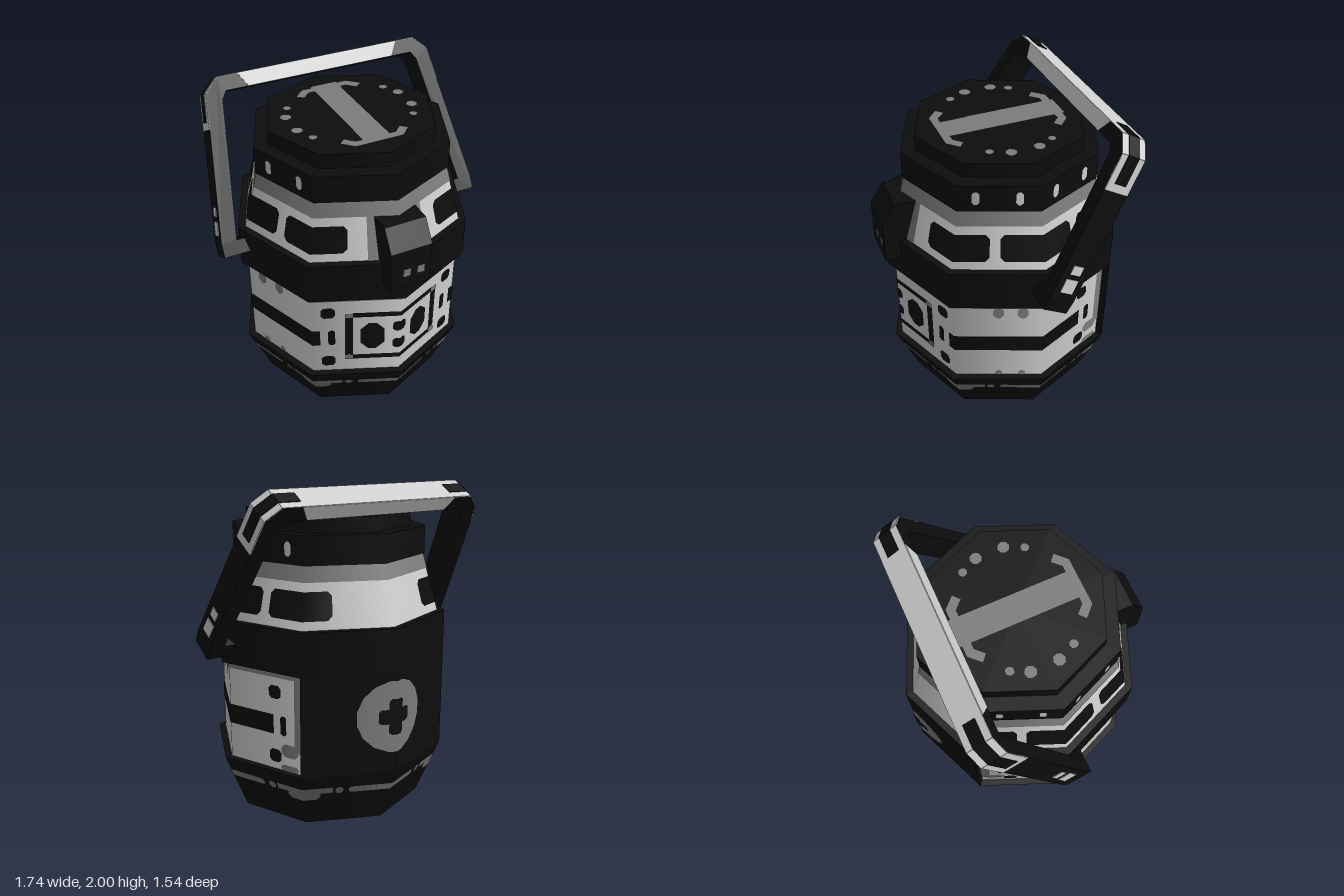
import * as THREE from 'three';

const mat = (name, color) => Object.assign(new THREE.MeshStandardMaterial({ color }), { name });

export function createModel() {
  const black = mat('black', 0x0d0d0d);
  const grey = mat('grey', 0x7c7c7c);
  const light = mat('light grey', 0xcfcfcf);
  const root = new THREE.Group();
  const CZ = -0.02; // centre of the octagonal body

  const add = (name, geo, m, parent = root) => {
    const mesh = new THREE.Mesh(geo, m);
    mesh.name = name;
    parent.add(mesh);
    return mesh;
  };
  const shapeOf = pts => new THREE.Shape(pts.map(p => new THREE.Vector2(...p)));

  // Stacked eight-sided canister sections: name, bottom radius, top radius, y0, y1
  for (const [name, r0, r1, y0, y1, m] of [
    ['base', 0.6, 0.745, 0, 0.35, black],
    ['body', 0.7, 0.7, 0.35, 0.96, light],
    ['belt', 0.745, 0.745, 0.96, 1.22, black],
    ['shoulder', 0.7, 0.6, 1.22, 1.57, light],
    ['lidRing', 0.61, 0.61, 1.57, 1.74, black],
    ['lidCap', 0.52, 0.52, 1.74, 1.83, black],
  ]) {
    add(name, new THREE.CylinderGeometry(r1, r0, y1 - y0, 8), m).position.set(0, (y0 + y1) / 2, CZ);
  }

  // Raised back panel covering the two rear faces
  const corner = (k, r) => [r * Math.sin(k * Math.PI / 4), r * Math.cos(k * Math.PI / 4)];
  const backShape = shapeOf([[0, 0], ...[3, 4, 5].map(k => corner(k, 0.745)).map(([x, z]) => [x, -z])]);
  const backGeo = new THREE.ExtrudeGeometry(backShape, { depth: 0.61, bevelEnabled: false });
  add('backPanel', backGeo.rotateX(-Math.PI / 2), black).position.set(0, 0.35, CZ);

  // Painted patch: convex outline in (u, y), u counts octagon corners from the front towards +x
  const clip = (pts, c, s) => pts.flatMap((p, i) => {
    const q = pts[(i + 1) % pts.length], a = s * (p[0] - c), b = s * (q[0] - c);
    const out = a >= 0 ? [p] : [];
    if (a * b < 0) out.push([c, p[1] + (q[1] - p[1]) * a / (a - b)]);
    return out;
  });
  const patch = (name, m, pts, radius, layer = 1) => {
    const pos = [], nor = [], us = pts.map(p => p[0]);
    for (let k = Math.floor(Math.min(...us)); k < Math.max(...us); k++) {
      const poly = clip(clip(pts, k, 1), k + 1, -1);
      const put = ([u, y]) => {
        const r = radius(y) + 0.0035 * layer, t = u - k;
        const [ax, az] = corner(k, 1), [bx, bz] = corner(k + 1, 1);
        const x = ax + (bx - ax) * t, z = az + (bz - az) * t;
        const n = new THREE.Vector3(x, (radius(y) - radius(y + 0.01)) * 100, z).normalize();
        pos.push(x * r, y, z * r + CZ);
        nor.push(n.x, n.y, n.z);
      };
      for (let i = 1; i < poly.length - 1; i++) [poly[0], poly[i], poly[i + 1]].forEach(put);
    }
    const geo = new THREE.BufferGeometry();
    geo.setAttribute('position', new THREE.Float32BufferAttribute(pos, 3));
    geo.setAttribute('normal', new THREE.Float32BufferAttribute(nor, 3));
    add(name, geo, m);
  };
  // Rectangle with cut corners
  const rect = (u0, u1, y0, y1, c = 0) => {
    const d = c / 0.53;
    return c ? [[u0 + d, y0], [u1 - d, y0], [u1, y0 + c], [u1, y1 - c], [u1 - d, y1], [u0 + d, y1], [u0, y1 - c], [u0, y0 + c]]
      : [[u0, y0], [u1, y0], [u1, y1], [u0, y1]];
  };
  const both = (name, m, pts, radius, layer) => {
    patch(name, m, pts, radius, layer);
    patch(name, m, pts.map(([u, y]) => [-u, y]).reverse(), radius, layer);
  };

  // Body markings
  const rBody = () => 0.7;
  both('bodyTopShade', grey, rect(0, 3, 0.92, 0.96), rBody);
  both('bodyRearShade', grey, rect(2.9, 3, 0.48, 0.92), rBody);
  both('bodyRearStain', grey, rect(2.72, 2.95, 0.44, 0.52, 0.025), rBody);
  both('bodyRearStain', grey, rect(2.72, 2.95, 0.35, 0.39, 0.012), rBody);
  for (const u of [1.5, 1.77]) {
    both('drip', grey, rect(u - 0.06, u + 0.06, 0.84, 0.93, 0.025), rBody);
    both('lowerDrip', grey, rect(u - 0.04, u + 0.04, 0.35, 0.39, 0.012), rBody);
  }
  both('sideStripe', black, rect(0.91, 2.62, 0.57, 0.69), rBody);
  both('frontPill', black, rect(0.74, 0.82, 0.57, 0.69, 0.012), rBody);
  both('rearPill', black, rect(2.71, 2.79, 0.57, 0.69, 0.012), rBody);
  for (const y of [0.395, 0.79]) {
    both('frontRivet', black, rect(0.74, 0.9, y, y + 0.08, 0.018), rBody);
    both('rearRivet', black, rect(2.56, 2.72, y, y + 0.08, 0.018), rBody);
  }

  // Front control panel: frame with worn corners and dark indicators
  for (const y of [0.445, 0.79]) {
    patch('panelFrame', black, rect(-0.56, 0.56, y, y + 0.035), rBody);
    both('panelCorner', grey, rect(0.54, 0.63, y, y + 0.035), rBody, 2);
  }
  both('panelSide', black, rect(0.54, 0.63, 0.48, 0.79), rBody);
  both('panelDial', black, rect(0.18, 0.455, 0.53, 0.74, 0.05), rBody);
  for (const y of [0.53, 0.67]) patch('panelButton', black, rect(-0.085, 0.085, y, y + 0.075, 0.015), rBody);

  // Back emblem: disc with a dark cross
  const rBack = () => 0.745;
  patch('emblemDisc', grey, Array.from({ length: 16 }, (_, i) => {
    const a = (i + 0.5) * Math.PI / 8;
    return [4 + 0.43 * Math.cos(a), 0.695 + 0.222 * Math.sin(a)];
  }), rBack);
  patch('emblemCross', black, rect(3.8, 4.2, 0.65, 0.74, 0.015), rBack, 2);
  patch('emblemCross', black, rect(3.91, 4.09, 0.585, 0.805, 0.015), rBack, 2);

  // Shoulder markings and windows
  const rShoulder = y => 0.7 - 0.1 * (y - 1.22) / 0.35;
  patch('shoulderShade', grey, rect(-4, 4, 1.48, 1.57), rShoulder);
  patch('claspShade', grey, rect(-0.38, 0.38, 1.22, 1.48), rShoulder);
  for (const [a, b] of [[0.6, 1.4], [1.52, 2.44], [2.55, 3.33]]) {
    both('shoulderWindow', black, rect(a, b, 1.27, 1.43, 0.025), rShoulder);
  }

  // Base trim: long bars, dots and pads repeated around
  const rBase = y => 0.6 + 0.145 * y / 0.35;
  for (let k = 0; k < 8; k += 2) {
    patch('baseBar', grey, rect(k - 0.48, k + 0.48, 0.22, 0.262, 0.012), rBase);
    patch('basePad', grey, rect(k + 0.8, k + 1.2, 0.18, 0.265, 0.025), rBase);
    for (const s of [-1, 1]) {
      const d = k + s * 0.59, e = k + 1 + s * 0.25;
      patch('baseDot', grey, rect(d - 0.045, d + 0.045, 0.218, 0.264, 0.014), rBase);
      patch('basePadTip', grey, rect(e - 0.09, e + 0.09, 0.225, 0.265), rBase);
    }
  }

  // Lid ring lights
  for (const u of [1.23, 1.745, 2.24, 2.75]) {
    both('ringLight', light, rect(u - 0.045, u + 0.045, 1.615, 1.7, 0.015), () => 0.61);
  }

  // Lid top markings
  const flat = (name, pts) => add(name, new THREE.ShapeGeometry(shapeOf(pts.map(([x, z]) => [x, -z])))
    .rotateX(-Math.PI / 2), grey).position.y = 1.834;
  flat('lidStripe', [[-0.085, 0.365], [0.085, 0.365], [0.085, -0.4], [-0.085, -0.4]]);
  for (const s of [-1, 1]) {
    for (const [z, e] of [[0.365, -1], [-0.385, 1]]) {
      const pts = [[0.085, 0], [0.15, 0], [0.215, 0.065], [0.175, 0.1], [0.125, 0.05], [0.085, 0.05]]
        .map(([x, d]) => [s * x, z + e * d]);
      flat('lidSerif', pts);
    }
    for (const [x, z, r] of [[0.37, -0.11, 0.036], [0.37, 0.06, 0.036], [0.32, -0.21, 0.026], [0.32, 0.17, 0.026]]) {
      add('lidDot', new THREE.CircleGeometry(r, 8).rotateX(-Math.PI / 2), grey).position.set(s * x, 1.834, z);
    }
  }

  // Front clasp
  const claspShape = shapeOf([[0.5, 1.09], [0.765, 1.09], [0.765, 1.35], [0.68, 1.48], [0.5, 1.48]]);
  const claspGeo = new THREE.ExtrudeGeometry(claspShape, { depth: 0.26, bevelEnabled: false });
  add('clasp', claspGeo.rotateY(-Math.PI / 2).translate(0.13, 0, 0), black);
  for (const x of [-0.025, 0.065]) {
    add('claspLight', new THREE.BoxGeometry(0.045, 0.05, 0.006), grey).position.set(x, 1.195, 0.765);
  }

  // Carrying handle, leaning back 30 degrees
  const handle = new THREE.Group();
  handle.name = 'handle';
  handle.position.set(0, 1.0525, -0.003);
  handle.rotation.x = -Math.PI / 6;
  root.add(handle);
  const mirror = pts => pts.map(([x, y]) => [-x, y]).reverse();
  const outer = [[0.87, 0], [0.87, 0.087], [0.74, 0.965], [0.655, 1.045]];
  const inner = [[0.62, 0.958], [0.652, 0.912], [0.775, 0.087], [0.7, 0.087], [0.7, 0]];
  const frame = shapeOf([...outer, ...mirror(outer), ...mirror(inner), ...inner]);
  add('handleFrame', new THREE.ExtrudeGeometry(frame, { depth: 0.17, bevelEnabled: false })
    .translate(0, 0, -0.085), black, handle);

  // Thin plates laid along the outer edge of the handle
  const strip = (name, pts, width, m, off) => {
    for (let i = 0; i < pts.length - 1; i++) {
      const [ax, ay] = pts[i], [bx, by] = pts[i + 1];
      const dx = bx - ax, dy = by - ay, len = Math.hypot(dx, dy);
      const plate = add(name, new THREE.BoxGeometry(len, 0.006, width), m, handle);
      plate.position.set((ax + bx) / 2 + off * dy / len, (ay + by) / 2 - off * dx / len, 0);
      plate.rotation.z = Math.atan2(dy, dx);
    }
  };
  const edge = v => [0.87 - 0.13 * (v - 0.087) / 0.878, v];
  const cover = [edge(0.755), outer[2], outer[3]];
  strip('handleCover', [...cover, ...mirror(cover)], 0.17, light, 0);
  const inlay = [edge(0.8), outer[2], outer[3], [0.52, 1.045]];
  const lowSpot = [edge(0.13), edge(0.215)], highSpot = [edge(0.245), edge(0.3)];
  for (const f of [p => p, mirror]) {
    strip('handleInlay', f(inlay), 0.08, black, 0.004);
    strip('armSpot', f(lowSpot), 0.085, light, 0.001);
    strip('armSpot', f(highSpot), 0.07, light, 0.001);
  }
  const grip = new THREE.ExtrudeGeometry(shapeOf([[-0.48, 0.958], [0.48, 0.958], [0.53, 1.045], [-0.53, 1.045]]),
    { depth: 0.006, bevelEnabled: false });
  for (const z of [0.082, -0.088]) add('handleGrip', grip, light, handle).position.z = z;

  return root;
}
